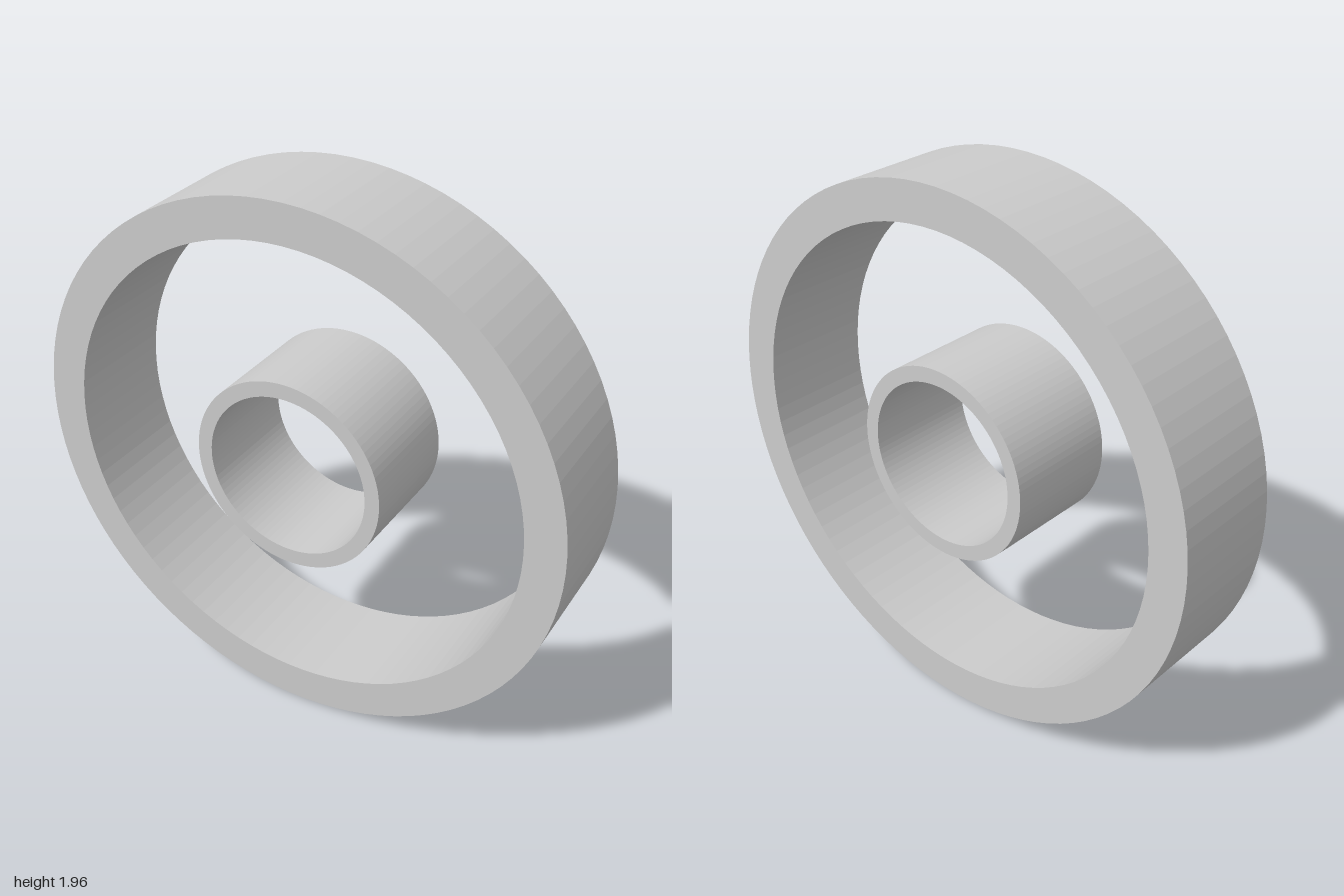
import * as THREE from 'three';

const DEPTH = 0.426;
const CENTRE_Y = 0.98;

// Straight tube along z with an elliptical outside and opening
function makeRing(name, outerX, outerY, innerX, innerY, material) {
  const shape = new THREE.Shape();
  shape.absellipse(0, 0, outerX, outerY, 0, Math.PI * 2);
  const hole = new THREE.Path();
  hole.absellipse(0, 0, innerX, innerY, 0, Math.PI * 2);
  shape.holes.push(hole);
  const geometry = new THREE.ExtrudeGeometry(shape, {
    depth: DEPTH, bevelEnabled: false, curveSegments: 48,
  });
  geometry.translate(0, CENTRE_Y, -DEPTH / 2);
  const mesh = new THREE.Mesh(geometry, material);
  mesh.name = name;
  return mesh;
}

export function createModel() {
  const model = new THREE.Group();
  model.name = 'concentricRings';
  const grey = new THREE.MeshStandardMaterial({ color: 0xcccccc, flatShading: true });

  // Large, slightly flattened rim
  model.add(makeRing('outerRing', 1, 0.98, 0.86, 0.84, grey));
  // Round sleeve floating in the middle
  model.add(makeRing('innerRing', 0.356, 0.356, 0.302, 0.3, grey));
  return model;
}
